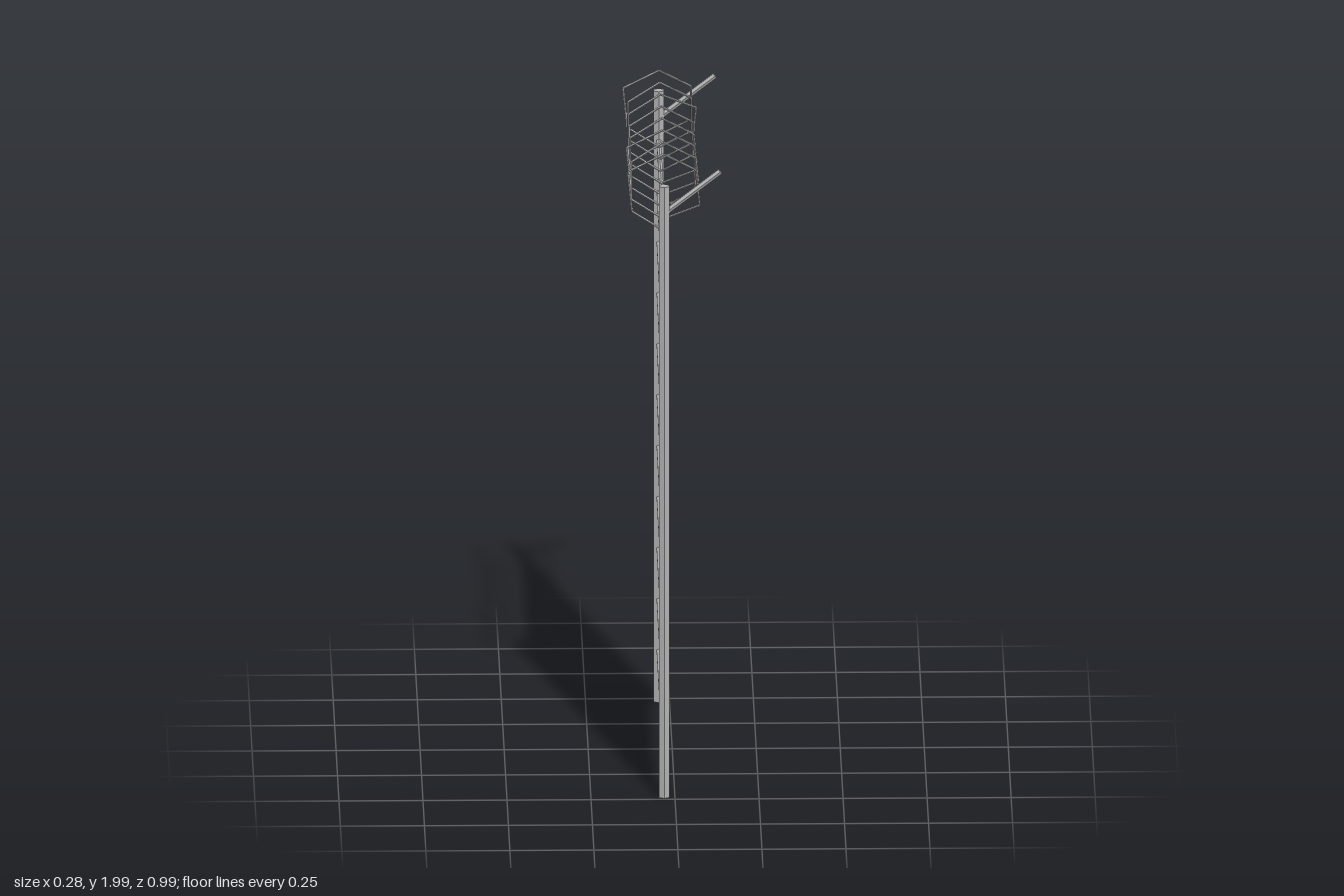
import * as THREE from 'three';

const metal = new THREE.MeshStandardMaterial({ color: 0xb4b4b4 });
metal.name = 'galvanised metal';
metal.flatShading = true;
const mesh = new THREE.MeshStandardMaterial({ color: 0xbcbcbc });
mesh.name = 'mesh panel grey';
mesh.side = THREE.DoubleSide;

const V = (x, y, z) => new THREE.Vector3(x, y, z);

// straight rod between two points
function rod(name, a, b, radius, sides = 6) {
  const dir = b.clone().sub(a);
  const m = new THREE.Mesh(new THREE.CylinderGeometry(radius, radius, dir.length(), sides), metal);
  m.name = name;
  m.position.copy(a).add(b).multiplyScalar(0.5);
  m.quaternion.setFromUnitVectors(V(0, 1, 0), dir.normalize());
  return m;
}

export function createModel() {
  const fence = new THREE.Group();
  fence.name = 'fence';
  const X = -0.032, Z = 0.475;

  // posts with slanted arms
  for (const z of [Z, -Z]) {
    fence.add(rod('post', V(X, 0, z), V(X, 1.905, z), 0.0175));
    fence.add(rod('arm', V(X, 1.82, z), V(0.135, 1.95, z), 0.0095));
  }

  // horizontal rails
  const bottom = 0.16, top = 1.75, count = 11;
  for (let i = 0; i < count; i++) {
    const y = bottom + (top - bottom) * i / (count - 1);
    fence.add(rod('rail', V(X, y, Z), V(X, y, -Z), 0.0075));
  }

  // mesh panel between the posts
  const panel = new THREE.Mesh(new THREE.PlaneGeometry(2 * Z, top - bottom), mesh);
  panel.name = 'panel';
  panel.rotation.y = Math.PI / 2;
  panel.position.set(X, (top + bottom) / 2, 0);
  fence.add(panel);

  // six-sided wire coil, with a few corners bent outward
  const coil = new THREE.Group();
  coil.name = 'wireCoil';
  const turns = 8, steps = turns * 6;
  const bent = [2, 5, 14, 17, 23, 34, 44];
  const points = [];
  for (let k = 0; k <= steps; k++) {
    const a = k * Math.PI / 3;
    const r = bent.includes(k) ? 0.124 : 0.11;
    points.push(V(X - r * Math.sin(a), 1.875 - r * Math.cos(a), Z - 2 * Z * k / steps));
  }
  for (let k = 0; k < steps; k++) coil.add(rod('wire', points[k], points[k + 1], 0.0037));
  fence.add(coil);

  return fence;
}
